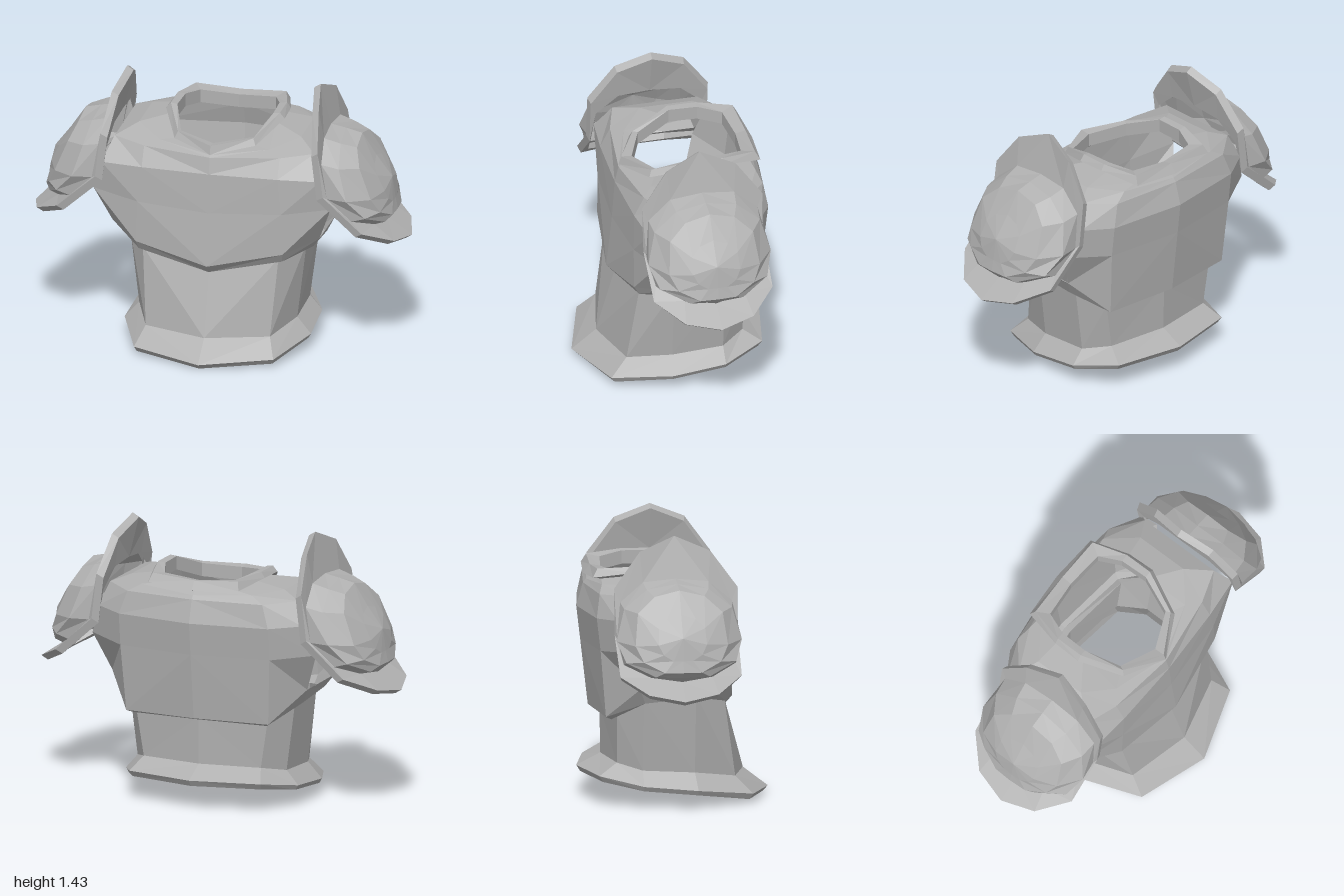
import * as THREE from 'three';

const steel = new THREE.MeshStandardMaterial({ color: 0xb0b0b0, flatShading: true, side: THREE.DoubleSide });
steel.name = 'steel grey';

// Completes a half ring by mirroring its inner points across one axis (0 = x, 2 = z)
function fullRing(half, axis, offset = 0) {
  const mirrored = half.slice(1, -1).reverse().map((p) => p.map((v, k) => (k === axis ? -v : v)));
  return [...half, ...mirrored].map((p) => p.map((v, k) => (k === axis ? v + offset : v)));
}

// Skins a stack of closed rings; skip(row, column) leaves openings
function loft(name, rings, skip = () => false) {
  const pos = [];
  const n = rings[0].length;
  for (let r = 0; r < rings.length - 1; r++) {
    for (let i = 0; i < n; i++) {
      if (skip(r, i)) continue;
      const j = (i + 1) % n;
      const a = rings[r][i], b = rings[r][j], c = rings[r + 1][j], d = rings[r + 1][i];
      // Mirrored diagonals keep both halves symmetrical
      if (i < n / 2) pos.push(...a, ...b, ...c, ...a, ...c, ...d);
      else pos.push(...a, ...b, ...d, ...b, ...c, ...d);
    }
  }
  const g = new THREE.BufferGeometry();
  g.setAttribute('position', new THREE.Float32BufferAttribute(pos, 3));
  g.computeVertexNormals();
  const mesh = new THREE.Mesh(g, steel);
  mesh.name = name;
  return mesh;
}

const body = (half) => fullRing(half, 0);
const shrink = (half, s, dy) => half.map(([x, y, z]) => [x * s, y + dy, z * s]);

export function createModel() {
  const group = new THREE.Group();
  group.name = 'breastplateArmor';

  // Half rings run from front centre, round the left side, to back centre
  const waistLow = [[0, .13, .37], [.33, .14, .29], [.42, .175, .07], [.42, .19, -.2], [.33, .22, -.325], [0, .22, -.37]];
  const waistTop = [[0, .49, .265], [.36, .55, .23], [.47, .59, .07], [.47, .57, -.2], [.37, .47, -.33], [0, .47, -.375]];
  group.add(loft('abdomen', [body(waistLow), body(waistTop)]));

  // Flared skirt at the hem
  const hemUpper = [[0, .03, .5], [.37, .05, .38], [.495, .09, .08], [.485, .115, -.2], [.37, .157, -.42], [0, .157, -.495]];
  const hemLower = [[0, 0, .47], [.36, .02, .36], [.48, .065, .08], [.47, .09, -.2], [.36, .125, -.4], [0, .125, -.475]];
  group.add(loft('hemFlange', [shrink(waistLow, .95, -.02), hemLower, hemUpper, waistLow].map(body)));

  // Chest shell with open armholes at the sides
  const neckBase = [[0, 1.1, .21], [.2, 1.125, .11], [.27, 1.185, -.08], [.27, 1.185, -.23], [.22, 1.165, -.39], [0, 1.15, -.42]];
  const chest = [
    waistTop,
    [[0, .46, .275], [.38, .54, .235], [.51, .58, .08], [.51, .555, -.2], [.38, .455, -.36], [0, .465, -.41]],
    [[0, .505, .315], [.39, .59, .265], [.55, .64, .12], [.55, .635, -.23], [.4, .47, -.39], [0, .475, -.435]],
    [[0, .79, .285], [.38, .81, .265], [.63, .84, .2], [.63, .84, -.3], [.42, .82, -.42], [0, .82, -.475]],
    [[0, 1, .27], [.36, 1, .257], [.58, 1, .235], [.575, 1, -.35], [.42, .99, -.44], [0, .99, -.495]],
    [[0, 1.085, .25], [.36, 1.1, .205], [.53, 1.12, .15], [.53, 1.12, -.3], [.38, 1.11, -.42], [0, 1.11, -.46]],
    [[0, 1.095, .235], [.29, 1.12, .15], [.43, 1.16, .03], [.43, 1.16, -.25], [.31, 1.15, -.4], [0, 1.13, -.445]],
    neckBase,
  ];
  group.add(loft('chestPlate', chest.map(body), (r, i) => r >= 2 && r <= 4 && (i === 2 || i === 7)));

  // Raised collar round the neck opening
  const collarInner = [[0, 1.14, .18], [.19, 1.16, .1], [.255, 1.23, -.08], [.25, 1.23, -.23], [.2, 1.21, -.35], [0, 1.195, -.37]];
  const collar = [
    neckBase,
    [[0, 1.1, .25], [.215, 1.13, .14], [.315, 1.205, -.08], [.31, 1.205, -.23], [.255, 1.175, -.44], [0, 1.16, -.46]],
    [[0, 1.145, .235], [.2, 1.165, .125], [.29, 1.235, -.08], [.29, 1.235, -.23], [.24, 1.22, -.415], [0, 1.205, -.425]],
    collarInner,
    collarInner.map(([x, y, z]) => [x, y - .07, z]),
  ];
  group.add(loft('collar', collar.map(body)));

  // Shoulder guard: half rings run from top, round the front, to the outer bottom
  const rim = [[.515, 1.43, 0], [.55, 1.355, .183], [.577, 1.17, .32], [.605, .93, .32], [.81, .745, .315], [.95, .67, .18], [1, .64, 0]];
  const base = [[.57, 1.215, 0], [.575, 1.2, .17], [.59, 1.1, .29], [.625, .92, .31], [.75, .8, .29], [.84, .745, .16], [.87, .725, 0]];
  const side = (half) => fullRing(half, 2, -.05);
  const inset = (half) => half.map(([x, y, z]) => [x - .035, y - .022, z * .97]);
  const flange = [inset(base), inset(rim), rim, base].map(side);
  const dome = [
    base,
    [[.65, 1.2, 0], [.66, 1.175, .16], [.68, 1.08, .28], [.73, .92, .325], [.82, .82, .285], [.89, .755, .14], [.9, .75, 0]],
    [[.735, 1.18, 0], [.74, 1.15, .13], [.775, 1.07, .22], [.84, .91, .24], [.88, .83, .2], [.92, .78, .095], [.925, .78, 0]],
    [[.81, 1.067, 0], [.82, 1.045, .075], [.845, 1, .12], [.885, .92, .125], [.9, .87, .1], [.91, .84, .05], [.912, .84, 0]],
    Array(7).fill([.895, .955, 0]),
  ].map(side);
  for (const s of [1, -1]) {
    const guard = new THREE.Group();
    guard.name = s > 0 ? 'leftShoulderGuard' : 'rightShoulderGuard';
    guard.add(loft('shoulderRim', flange), loft('shoulderDome', dome));
    guard.scale.x = s;
    group.add(guard);
  }
  return group;
}
